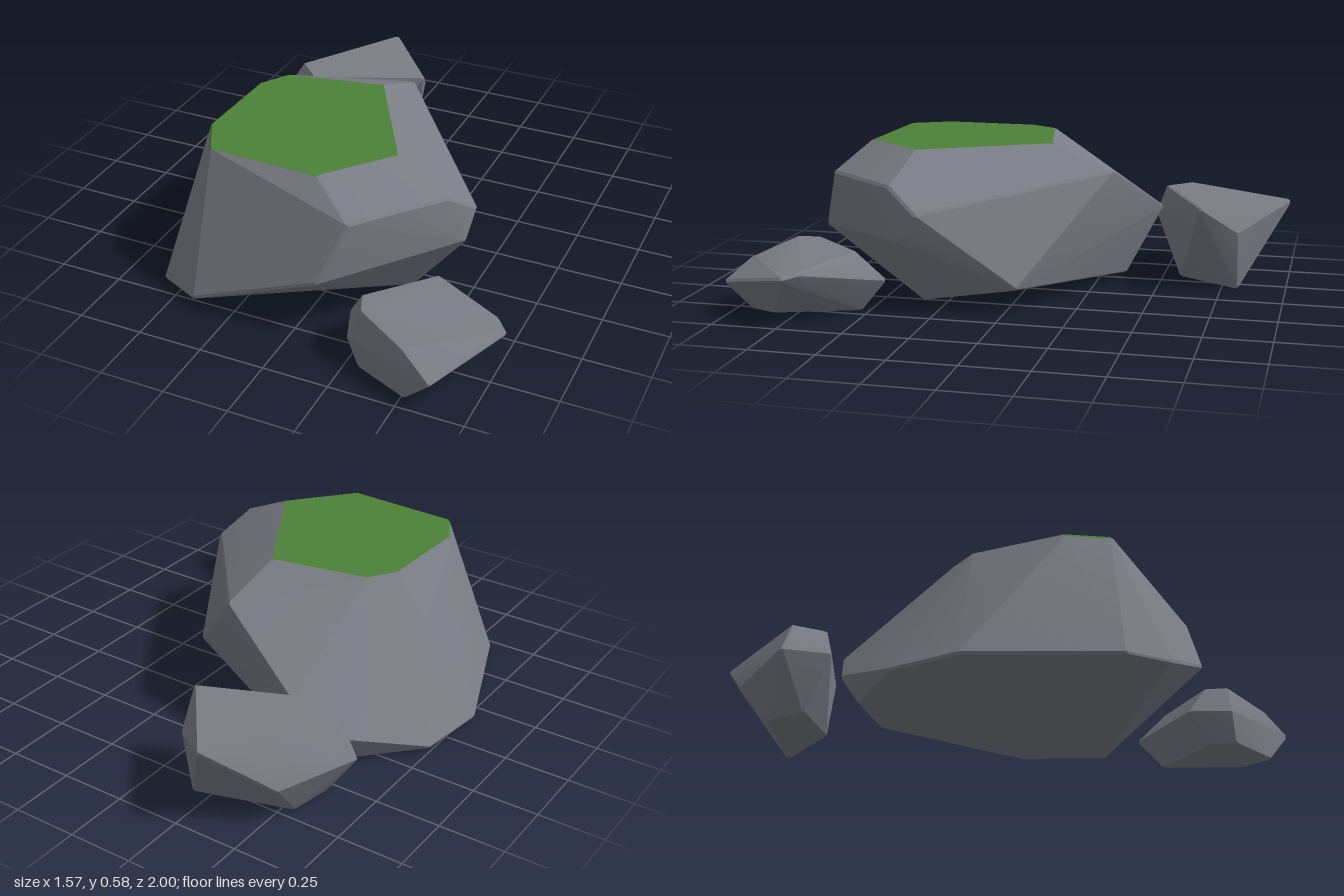
import * as THREE from 'three';
import { ConvexGeometry } from 'three/addons/geometries/ConvexGeometry.js';
import { toCreasedNormals } from 'three/addons/utils/BufferGeometryUtils.js';

const stone = new THREE.MeshStandardMaterial({ color: 0x7b7d86 });
stone.name = 'stone';
const moss = new THREE.MeshStandardMaterial({ color: 0x4d8238 });
moss.name = 'moss';

// Small ball of offsets that softens every corner and edge
const BEVEL = 0.013;
const ball = [];
const ico = new THREE.IcosahedronGeometry(BEVEL, 0).attributes.position;
for (let i = 0; i < ico.count; i++) ball.push(new THREE.Vector3().fromBufferAttribute(ico, i));

// Convex boulder through the given corners, with narrow bevels
function boulderGeometry(corners) {
  const pts = corners.map((c) => new THREE.Vector3(...c));
  const box = new THREE.Box3().setFromPoints(pts);
  const mid = box.getCenter(new THREE.Vector3());
  const size = box.getSize(new THREE.Vector3());
  const shrink = new THREE.Vector3(1 - 2 * BEVEL / size.x, 1 - 2 * BEVEL / size.y, 1 - 2 * BEVEL / size.z);
  const cloud = [];
  for (const p of pts) {
    p.sub(mid).multiply(shrink).add(mid);
    for (const b of ball) cloud.push(p.clone().add(b));
  }
  return toCreasedNormals(new ConvexGeometry(cloud), 0.3);
}

// Split a geometry into faces lying wholly above a height and the rest
function splitAbove(geometry, height) {
  const pos = geometry.attributes.position, nor = geometry.attributes.normal;
  const sets = [{ p: [], n: [] }, { p: [], n: [] }];
  for (let i = 0; i < pos.count; i += 3) {
    const low = Math.min(pos.getY(i), pos.getY(i + 1), pos.getY(i + 2));
    const set = sets[low > height ? 0 : 1];
    for (let k = i; k < i + 3; k++) {
      set.p.push(pos.getX(k), pos.getY(k), pos.getZ(k));
      set.n.push(nor.getX(k), nor.getY(k), nor.getZ(k));
    }
  }
  return sets.map(({ p, n }) => new THREE.BufferGeometry()
    .setAttribute('position', new THREE.Float32BufferAttribute(p, 3))
    .setAttribute('normal', new THREE.Float32BufferAttribute(n, 3)));
}

function addMesh(parent, name, geometry, material) {
  const mesh = new THREE.Mesh(geometry, material);
  mesh.name = name;
  parent.add(mesh);
}

const T = 0.585;
const mainCorners = [
  // flat crown
  [-0.40, T, -0.03], [-0.03, T, -0.10], [0.24, T, 0.38], [0.04, T, 0.62],
  [-0.40, T, 0.60], [-0.48, T, 0.45], [-0.47, T, 0.08],
  // shoulders
  [0.20, 0.48, 0.72], [0.45, 0.48, 0.42], [0.515, 0.39, 0.30], [0.00, 0.49, -0.34],
  // waist
  [0.11, 0.25, 0.79], [0.50, 0.28, 0.36], [0.36, 0.09, -0.04],
  [-0.38, 0.28, -0.485], [-0.55, 0.12, -0.40],
  // foot
  [-0.40, 0.04, 0.795], [-0.58, 0.01, 0.69], [-0.785, 0.01, 0.16], [-0.75, 0.01, -0.12],
  [-0.55, 0.01, -0.33], [-0.31, 0.01, -0.35], [0.29, 0.01, 0.34],
];

const frontCorners = [
  // upper edge
  [0.30, 0.24, 0.84], [0.27, 0.235, 0.76], [0.47, 0.235, 0.54], [0.74, 0.21, 0.66],
  [0.785, 0.20, 0.71], [0.50, 0.20, 0.94],
  // waist
  [0.62, 0.13, 1.0], [0.205, 0.12, 0.71], [0.26, 0.12, 0.86], [0.43, 0.12, 0.44],
  // foot
  [0.27, 0, 0.77], [0.30, 0, 0.86], [0.51, 0, 0.95], [0.55, 0, 0.84], [0.44, 0, 0.53],
];

const backCorners = [
  // flat top
  [-0.35, 0.34, -1.0], [-0.09, 0.34, -0.67], [-0.53, 0.34, -0.48], [-0.62, 0.34, -0.57],
  // waist
  [-0.705, 0.20, -0.56], [-0.57, 0.22, -0.435], [-0.55, 0.15, -0.82], [-0.14, 0.24, -0.81],
  // foot
  [-0.18, 0, -0.81], [-0.54, 0, -0.70], [-0.33, 0, -0.57], [-0.57, 0, -0.54],
];

export function createModel() {
  const model = new THREE.Group();
  model.name = 'mossyRocks';

  // Large boulder with a mossy crown
  const main = new THREE.Group();
  main.name = 'largeBoulder';
  const [crown, body] = splitAbove(boulderGeometry(mainCorners), T - 0.03);
  addMesh(main, 'mossCrown', crown, moss);
  addMesh(main, 'boulderBody', body, stone);
  model.add(main);

  // Two small loose rocks
  addMesh(model, 'frontRock', boulderGeometry(frontCorners), stone);
  addMesh(model, 'backRock', boulderGeometry(backCorners), stone);
  return model;
}
